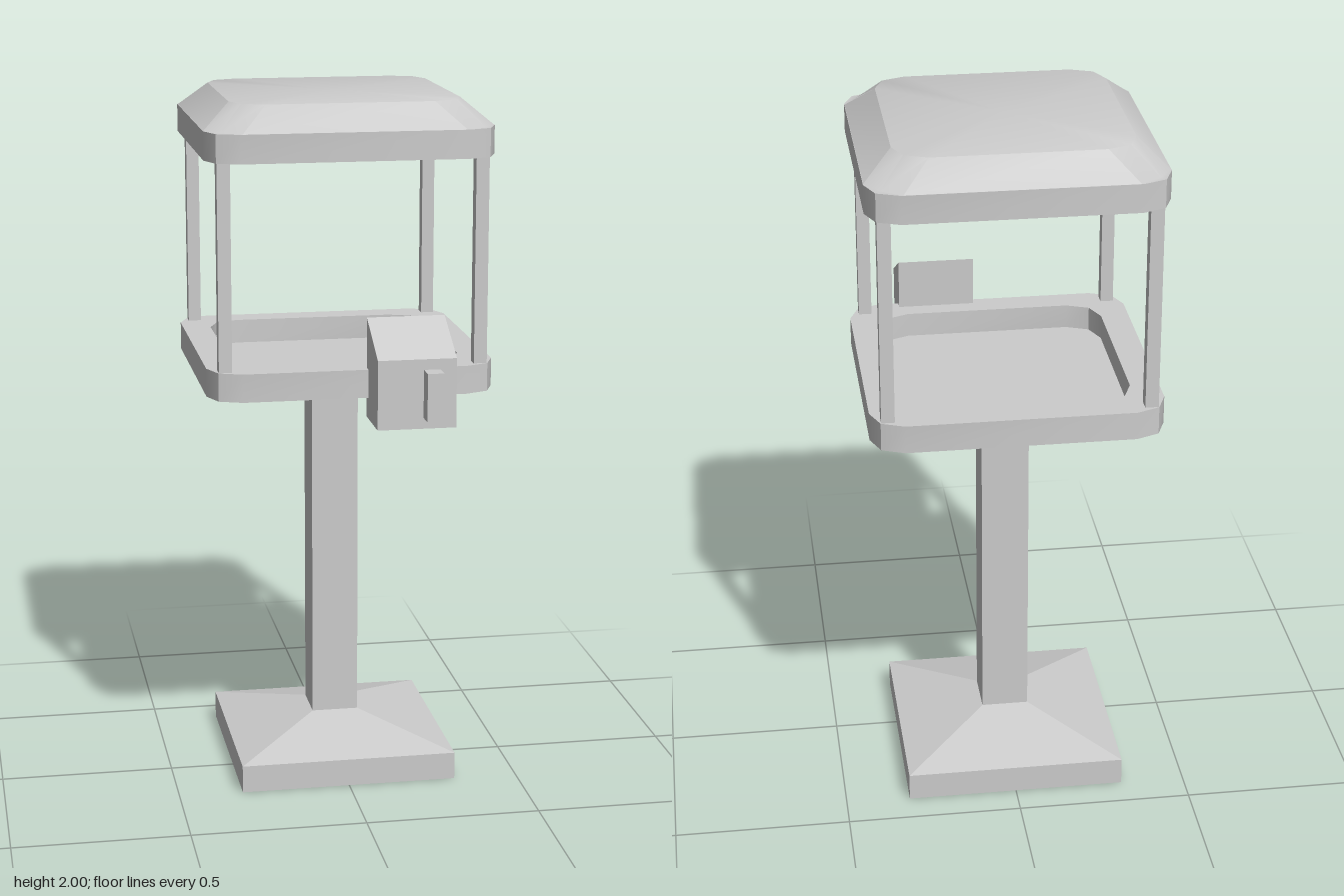
import * as THREE from 'three';
import { toCreasedNormals } from 'three/addons/utils/BufferGeometryUtils.js';

const CZ = -0.094; // depth of the stand's axis

const flat = new THREE.MeshStandardMaterial({ color: 0xcccccc, flatShading: true });
const smooth = new THREE.MeshStandardMaterial({ color: 0xcccccc });
const shell = new THREE.MeshStandardMaterial({ color: 0xcccccc, flatShading: true, side: THREE.DoubleSide });

// Square outline with two-segment corners: half size h, corner length r, corner inset m
function outline(y, h, r = 0.09, m = 0.026) {
  const pts = [];
  for (let k = 0; k < 4; k++) {
    for (let [x, d] of [[h, h - r], [h - m, h - m], [h - r, h]]) {
      for (let i = 0; i < k; i++) [x, d] = [-d, x];
      pts.push([x, y, -d]);
    }
  }
  return pts;
}

// Closed solid through a series of outlines, capped at both ends
function loft(loops) {
  const pos = [];
  const tri = (a, b, c) => pos.push(...a, ...b, ...c);
  const first = loops[0], last = loops[loops.length - 1], n = first.length;
  for (let i = 0; i < n; i++) {
    const j = (i + 1) % n;
    tri([0, first[0][1], 0], first[j], first[i]);
    for (let k = 0; k < loops.length - 1; k++) {
      const lo = loops[k], hi = loops[k + 1];
      tri(lo[i], lo[j], hi[j]);
      tri(lo[i], hi[j], hi[i]);
    }
    tri(last[i], last[j], [0, last[0][1], 0]);
  }
  const g = new THREE.BufferGeometry();
  g.setAttribute('position', new THREE.Float32BufferAttribute(pos, 3));
  return toCreasedNormals(g, 0.66);
}

// Open four-sided shell from [half width, y] steps
function squareShell(steps) {
  const pts = steps.map(([h, y]) => new THREE.Vector2(h * Math.SQRT2, y));
  return new THREE.LatheGeometry(pts, 4, Math.PI / 4);
}

export function createModel() {
  const model = new THREE.Group();
  const add = (name, geometry, material, x, y, z) => {
    const mesh = new THREE.Mesh(geometry, material);
    mesh.name = name;
    mesh.position.set(x, y, z);
    model.add(mesh);
  };

  // Hollow foot and post
  add('foot', squareShell([[0.315, 0], [0.315, 0.08], [0.068, 0.145]]), shell, 0, 0, CZ);
  add('post', squareShell([[0.068, 0.145], [0.068, 1.19]]), shell, 0, 0, CZ);

  // Tray with a recessed floor
  add('tray', loft([
    outline(1.19, 0.406), outline(1.27, 0.406), outline(1.27, 0.325), outline(1.2, 0.325),
  ]), smooth, 0, 0, CZ);

  // Roof: recessed ceiling, rim, sloped hood
  add('roof', loft([
    outline(1.93, 0.325), outline(1.85, 0.325), outline(1.85, 0.406), outline(1.93, 0.406),
    outline(1.93, 0.405, 0.095, 0.038), outline(2, 0.325),
  ]), smooth, 0, 0, CZ);

  // Corner bars between tray and roof
  for (const sx of [-1, 1]) {
    for (const sz of [-1, 1]) {
      add('cornerBar', new THREE.BoxGeometry(0.037, 0.58, 0.037), flat, sx * 0.36, 1.56, CZ + sz * 0.36);
    }
  }

  // Chute body: side profile extruded across the width
  const profile = new THREE.Shape([
    [0.285, 1.21], [0.449, 1.21], [0.449, 1.325], [0.285, 1.412],
  ].map(([z, y]) => new THREE.Vector2(-z, y)));
  const body = new THREE.ExtrudeGeometry(profile, { depth: 0.22, bevelEnabled: false });
  body.rotateY(Math.PI / 2);
  add('chuteBody', body, flat, 0.036, 0, 0);

  // Chute mouth: open frame facing down
  const rect = (P, w, d) => new P([[-w, -d], [w, -d], [w, d], [-w, d]].map(([x, y]) => new THREE.Vector2(x, y)));
  const frame = rect(THREE.Shape, 0.11, 0.082);
  frame.holes.push(rect(THREE.Path, 0.08, 0.052));
  const mouth = new THREE.ExtrudeGeometry(frame, { depth: 0.08, bevelEnabled: false });
  mouth.rotateX(-Math.PI / 2);
  add('chuteMouth', mouth, flat, 0.146, 1.13, 0.367);

  // Turning handle
  add('handle', new THREE.BoxGeometry(0.046, 0.135, 0.054), flat, 0.187, 1.228, 0.474);

  return model;
}
